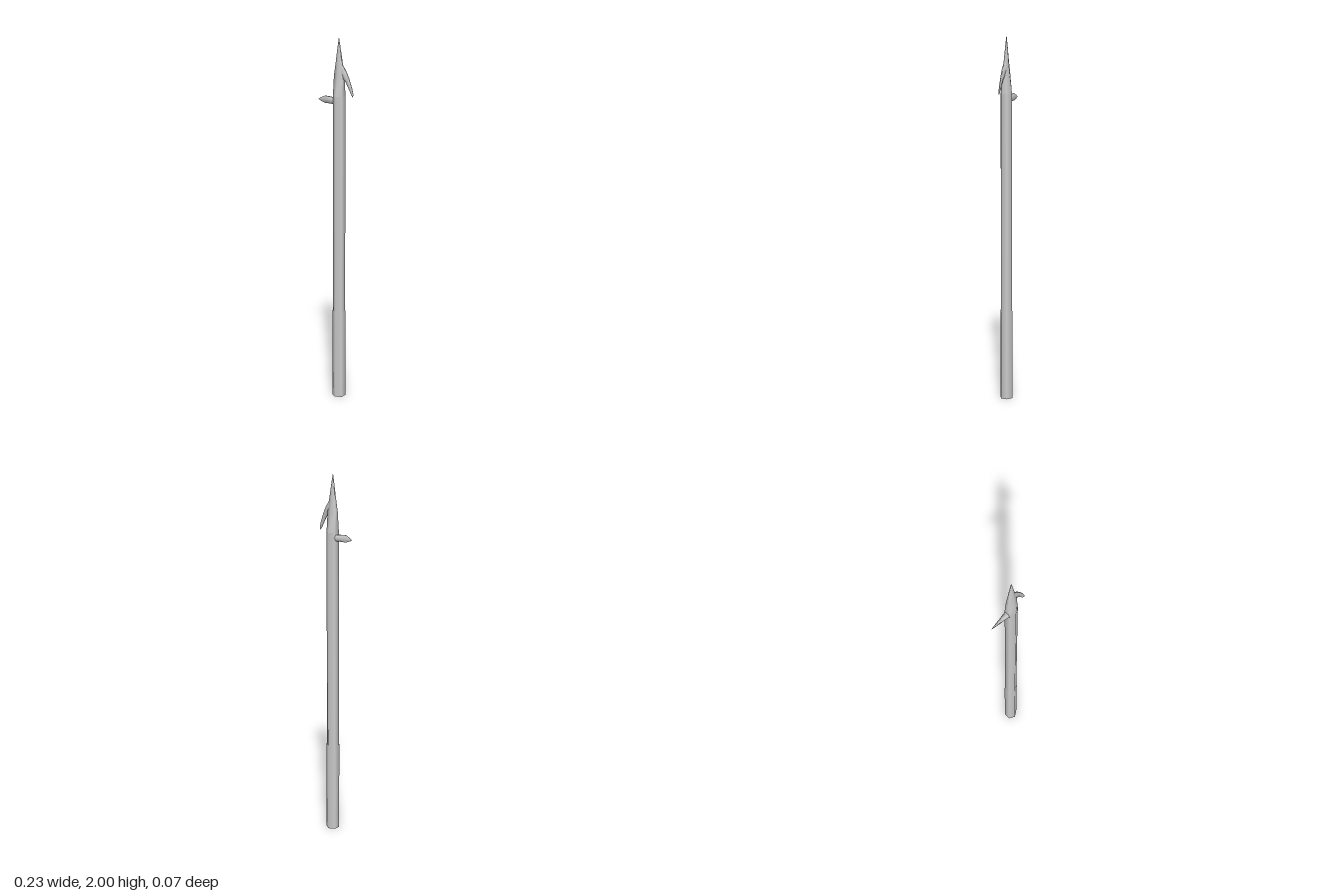
import * as THREE from 'three';

const SIDES = 6;
const CX = 0.024; // shaft axis
const material = new THREE.MeshStandardMaterial({ color: 0xcccccc });
const openMaterial = new THREE.MeshStandardMaterial({ color: 0xcccccc, side: THREE.DoubleSide });

// Lofts hexagonal rings along a path in the xy plane.
// Each section: [x, y, path direction in degrees, half width, half thickness in z]
function loft(name, sections) {
  const positions = [], index = [];
  for (const [x, y, dir, w, t] of sections) {
    const p = THREE.MathUtils.degToRad(dir);
    for (let j = 0; j < SIDES; j++) {
      const th = ((j + 0.5) / SIDES) * Math.PI * 2;
      const u = (w * Math.cos(th)) / Math.cos(Math.PI / 6);
      positions.push(x + u * Math.sin(p), y - u * Math.cos(p), -t * Math.sin(th));
    }
  }
  for (let i = 0; i < sections.length - 1; i++) {
    for (let j = 0; j < SIDES; j++) {
      const k = (j + 1) % SIDES;
      const a = i * SIDES + j, b = i * SIDES + k;
      index.push(a, b, b + SIDES, a, b + SIDES, a + SIDES);
    }
  }
  const geometry = new THREE.BufferGeometry();
  geometry.setAttribute('position', new THREE.Float32BufferAttribute(positions, 3));
  geometry.setIndex(index);
  geometry.computeVertexNormals();
  const mesh = new THREE.Mesh(geometry, material);
  mesh.name = name;
  return mesh;
}

// Upright hexagonal tube or rod with corners facing front and back
function hexRod(name, radius, y0, y1, open) {
  const geometry = new THREE.CylinderGeometry(radius, radius, y1 - y0, SIDES, 1, open);
  const mesh = new THREE.Mesh(geometry, open ? openMaterial : material);
  mesh.position.set(CX, (y0 + y1) / 2, 0);
  mesh.name = name;
  return mesh;
}

export function createModel() {
  const group = new THREE.Group();
  group.name = 'harpoon';

  // Shaft, recessed slightly inside the open grip sleeve
  group.add(hexRod('shaft', 0.0335, 0.015, 1.69, false));
  group.add(hexRod('gripSleeve', 0.0365, 0, 0.5, true));

  // Head: flattens front to back, then narrows to the point
  group.add(loft('head', [
    [CX, 1.69, 90, 0.029, 0.0335],
    [CX, 1.80, 90, 0.028, 0.018],
    [CX, 1.86, 90, 0.020, 0.012],
    [0.023, 1.94, 90, 0.009, 0.006],
    [0.022, 2.0, 90, 0.0004, 0.0004],
  ]));

  // Swept-back barb on the left of the head
  group.add(loft('sweptBarb', [
    [0.028, 1.83, -35, 0.03, 0.012],
    [0.055, 1.808, -45, 0.02, 0.009],
    [0.079, 1.775, -58, 0.013, 0.006],
    [0.098, 1.735, -68, 0.010, 0.004],
    [0.110, 1.705, -72, 0.007, 0.002],
    [0.113, 1.692, -75, 0.0005, 0.0005],
  ]));

  // Leaf-shaped spike standing out to the right
  group.add(loft('sideSpike', [
    [0.02, 1.663, 180, 0.016, 0.022],
    [-0.007, 1.663, 180, 0.016, 0.018],
    [-0.04, 1.665, 180, 0.018, 0.012],
    [-0.07, 1.666, 180, 0.019, 0.006],
    [-0.095, 1.665, 180, 0.010, 0.003],
    [-0.114, 1.664, 180, 0.0005, 0.0005],
  ]));

  return group;
}
